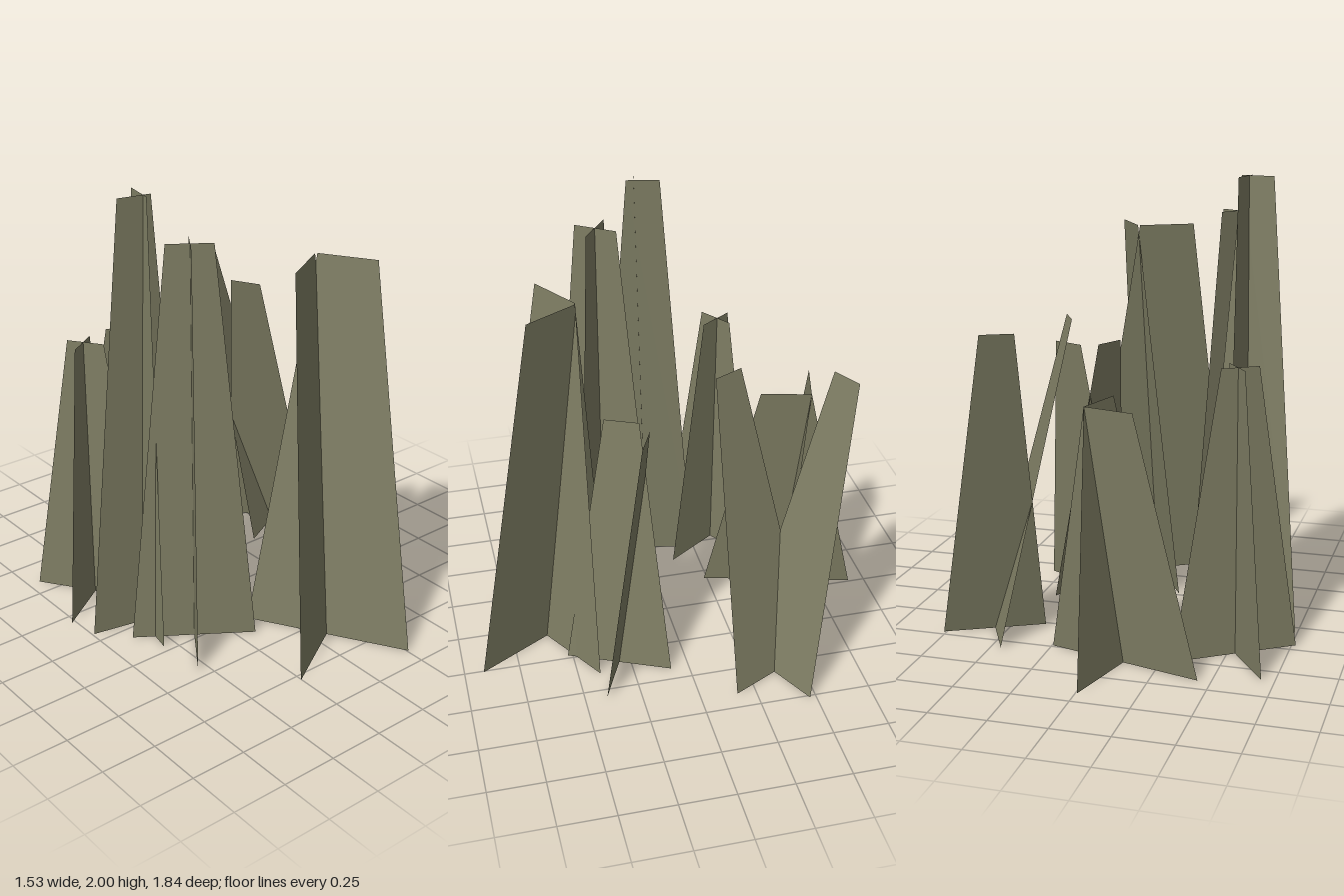
import * as THREE from 'three';

const material = new THREE.MeshStandardMaterial({ color: 0x7f7e64, side: THREE.DoubleSide });

// Tapered flat blade: base centre c, half-width vector w, top shifted by lean vector
function blade(c, w, lean, height, taper) {
  const top = c.clone().add(lean);
  const tw = w.clone().multiplyScalar(taper);
  const corners = [
    c.clone().sub(w), c.clone().add(w), top.clone().add(tw), top.clone().sub(tw),
  ].map((p, i) => new THREE.Vector3(p.x, i < 2 ? 0 : height, p.y));
  const geometry = new THREE.BufferGeometry().setFromPoints(corners);
  geometry.setAttribute('uv', new THREE.Float32BufferAttribute([0, 0, 1, 0, 1, 1, 0, 1], 2));
  geometry.setIndex([0, 1, 2, 0, 2, 3]);
  geometry.computeVertexNormals();
  const mesh = new THREE.Mesh(geometry, material);
  mesh.name = 'blade';
  return mesh;
}

// Clump of two blades crossed at right angles, each tilted about its own base
function clump({ at, half, height, taper, lean }) {
  const group = new THREE.Group();
  const c = new THREE.Vector2(...at);
  const u = new THREE.Vector2(...half);
  const v = new THREE.Vector2(-u.y, u.x);
  group.add(
    blade(c, u, v.clone().setLength(1).multiplyScalar(lean[0]), height, taper),
    blade(c, v, u.clone().setLength(1).multiplyScalar(lean[1]), height, taper),
  );
  return group;
}

// Base centre (x, z), half-width vector (x, z), height, top/base ratio, tilt of each blade
const clumps = [
  { at: [-0.533, -0.358], half: [0.235, -0.16], height: 1.255, taper: 0.3, lean: [-0.01, 0.01] },
  { at: [-0.511, -0.014], half: [0.23, 0.046], height: 2, taper: 0.315, lean: [0.04, 0.04] },
  { at: [-0.396, 0.224], half: [0.227, 0.154], height: 1.83, taper: 0.36, lean: [0.002, 0.002] },
  { at: [-0.099, -0.579], half: [0.344, 0.092], height: 1.12, taper: 0.32, lean: [-0.113, 0.113] },
  { at: [0.56, -0.368], half: [0.203, -0.104], height: 1.4, taper: 0.315, lean: [-0.35, -0.35] },
  { at: [0.066, 0.592], half: [0.322, -0.191], height: 1.73, taper: 0.345, lean: [-0.137, 0.137] },
  { at: [0.33, 0.302], half: [0.22, 0.1], height: 1.205, taper: 0.32, lean: [-0.135, -0.135] },
];

export function createModel() {
  const model = new THREE.Group();
  model.name = 'grassTuft';
  clumps.forEach((spec, i) => {
    const group = clump(spec);
    group.name = `grassClump${i + 1}`;
    model.add(group);
  });
  return model;
}
